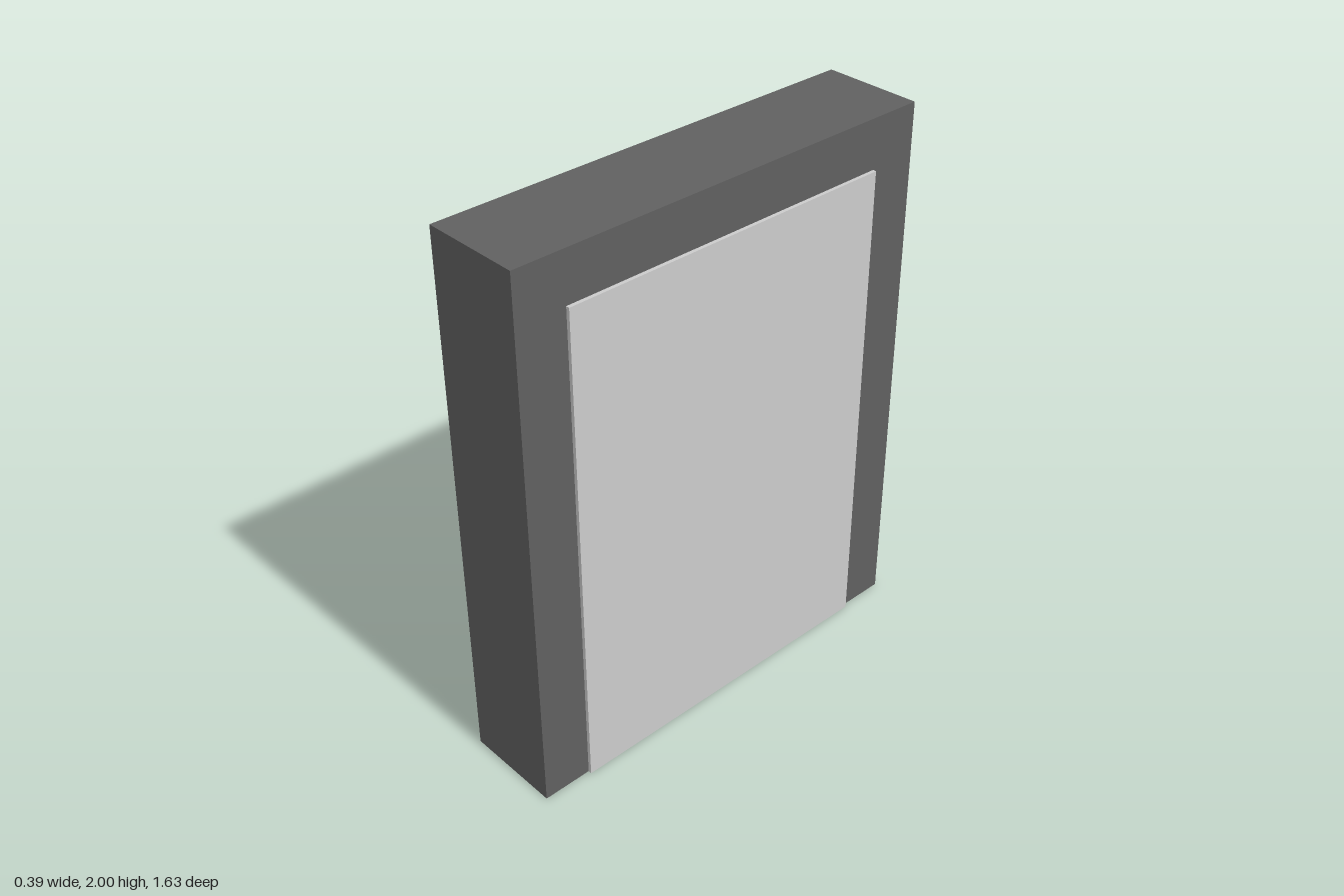
import * as THREE from 'three';

// Box standing on y = 0, centred on x and z
function standingBox(name, width, height, depth, color) {
  const geometry = new THREE.BoxGeometry(width, height, depth);
  geometry.translate(0, height / 2, 0);
  const mesh = new THREE.Mesh(geometry, new THREE.MeshStandardMaterial({ color }));
  mesh.name = name;
  return mesh;
}

export function createModel() {
  const group = new THREE.Group();
  group.name = 'framedDoor';

  // Dark surround
  group.add(standingBox('doorFrame', 0.364, 2, 1.635, 0x606060));

  // Light panel running through the frame, slightly proud on both sides
  group.add(standingBox('doorPanel', 0.39, 1.82, 1.27, 0xcccccc));

  return group;
}
